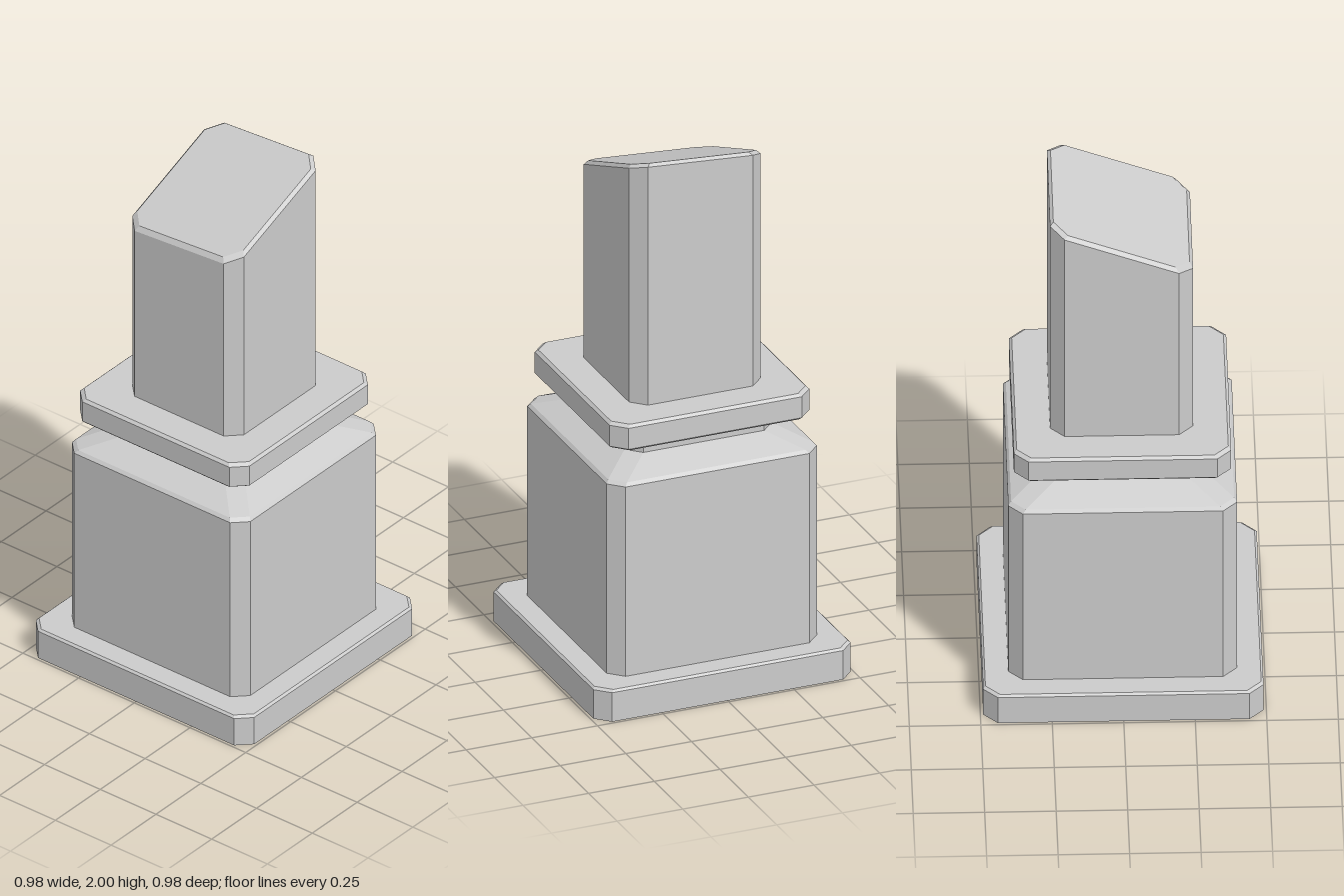
import * as THREE from 'three';

const material = new THREE.MeshStandardMaterial({
  color: 0xcccccc, flatShading: true, side: THREE.DoubleSide,
});

// Square ring with cut corners; y may be a height or a rule of (x, z).
function ring(half, y, cut = 0.05) {
  const k = half - cut;
  const corners = [
    [half, -k], [half, k], [k, half], [-k, half],
    [-half, k], [-half, -k], [-k, -half], [k, -half],
  ];
  return corners.map(([x, z]) =>
    new THREE.Vector3(x, typeof y === 'function' ? y(x, z) : y, z));
}

// Skin between successive rings, with an optional cap on the last one.
function loft(name, rings, capped = false) {
  const points = [];
  for (let r = 0; r < rings.length - 1; r++) {
    const a = rings[r], b = rings[r + 1];
    for (let i = 0; i < 8; i++) {
      const j = (i + 1) % 8;
      points.push(a[i], b[i], a[j], a[j], b[i], b[j]);
    }
  }
  if (capped) {
    const top = rings[rings.length - 1];
    for (let i = 1; i < 7; i++) points.push(top[0], top[i + 1], top[i]);
  }
  const geometry = new THREE.BufferGeometry().setFromPoints(points);
  geometry.computeVertexNormals();
  const mesh = new THREE.Mesh(geometry, material);
  mesh.name = name;
  return mesh;
}

export function createModel() {
  const group = new THREE.Group();
  group.name = 'slantedPost';

  // Slanted top of the post, rising to the back and slightly to the left
  const slope = (x, z) => 1.894 + 0.07 * x - 0.39 * z;
  const rim = (x, z) => slope(x, z) - 0.014;

  group.add(
    // Hollow base, open underneath
    loft('base', [ring(0.49, 0), ring(0.49, 0.112), ring(0.482, 0.12), ring(0.4, 0.12)]),
    // Main block with sloping shoulder
    loft('body', [ring(0.4, 0.12), ring(0.4, 0.85), ring(0.39, 0.862), ring(0.28, 0.91)]),
    loft('neck', [ring(0.28, 0.91), ring(0.28, 0.975)]),
    // Collar with bevelled edges
    loft('collar', [
      ring(0.28, 0.975), ring(0.372, 0.975), ring(0.38, 0.983),
      ring(0.38, 1.064), ring(0.37, 1.074), ring(0.25, 1.074),
    ]),
    loft('post', [ring(0.25, 1.074), ring(0.25, rim), ring(0.238, slope)], true),
  );
  return group;
}
